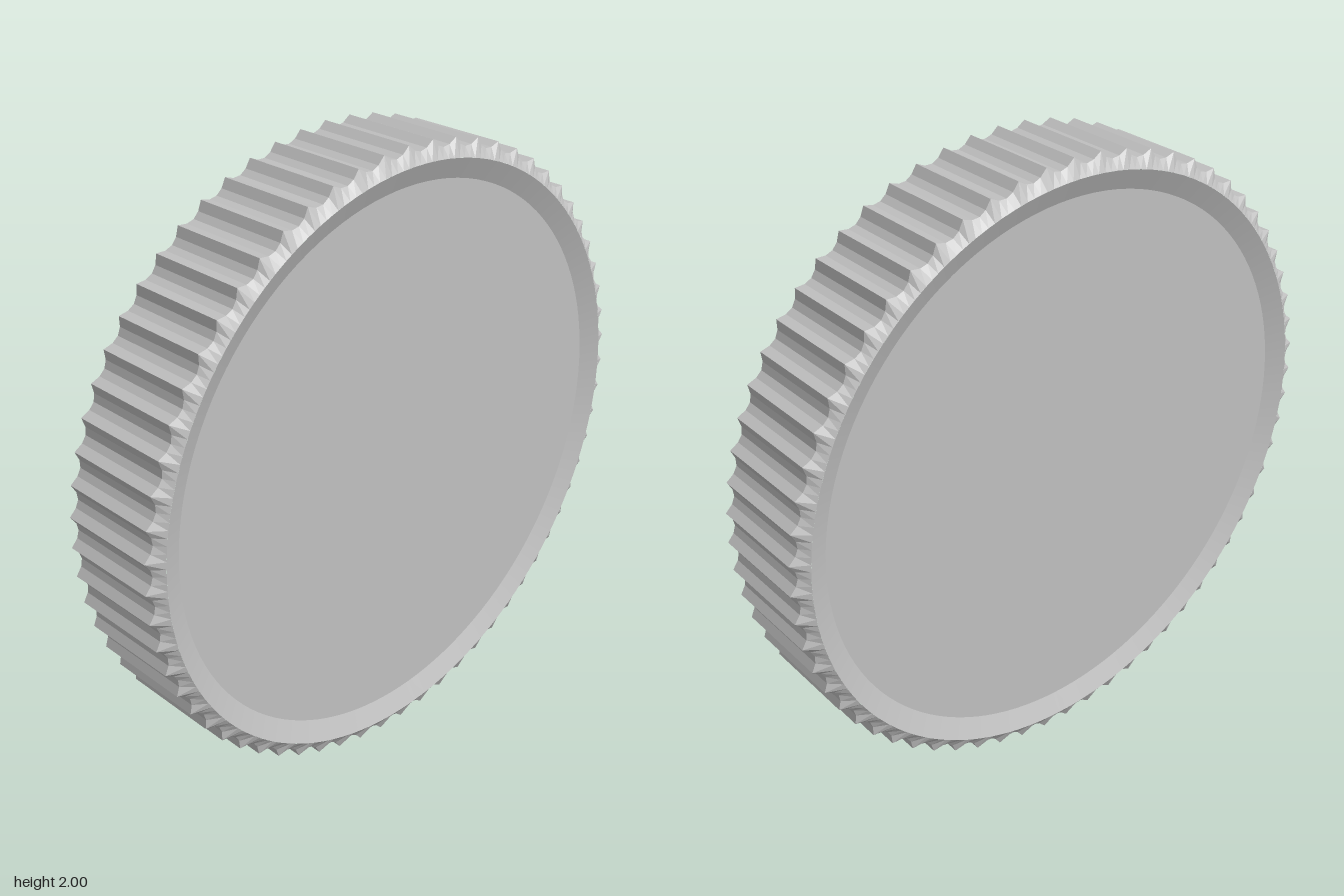
import * as THREE from 'three';

const TEETH = 64, STEPS = 4;        // sharp ridges with scooped flutes between them
const N = TEETH * STEPS;
const DEPTH = 0.027;                // flute depth
const EDGE_Z = 0.165, RIM_Z = 0.19; // half widths at the chamfer start and at the rim
const RIM_R = 0.945, FLOOR_R = 0.88, FLOOR_Z = 0.16;

const fluted = (i) => {
  const t = ((i % STEPS) / STEPS) * 2 - 1;
  return 1 - DEPTH * (1 - t * t);
};
const round = () => RIM_R;

// Faceted strip between two rings, each given as a radius rule and a z
function strip(rA, zA, rB, zB) {
  const pos = [];
  const point = (r, z, i) => {
    const a = (i / N) * Math.PI * 2;
    return [Math.cos(a) * r(i), Math.sin(a) * r(i), z];
  };
  for (let i = 0; i < N; i++) {
    const a = point(rA, zA, i), b = point(rA, zA, i + 1);
    const c = point(rB, zB, i + 1), d = point(rB, zB, i);
    pos.push(...a, ...b, ...c, ...a, ...c, ...d);
  }
  const geo = new THREE.BufferGeometry();
  geo.setAttribute('position', new THREE.Float32BufferAttribute(pos, 3));
  geo.computeVertexNormals();
  return geo;
}

export function createModel() {
  const model = new THREE.Group();
  model.name = 'knurledDisc';
  const grey = new THREE.MeshStandardMaterial({ color: 0xc0c0c0 });
  grey.name = 'plain grey';

  const add = (parent, name, geo) => {
    const mesh = new THREE.Mesh(geo, grey);
    mesh.name = name;
    parent.add(mesh);
  };

  // Fluted grip around the edge
  add(model, 'flutedGrip', strip(fluted, -EDGE_Z, fluted, EDGE_Z));

  // Identical dished faces on both sides
  for (const side of ['front', 'back']) {
    const face = new THREE.Group();
    face.name = side + 'Face';
    add(face, side + 'Chamfer', strip(fluted, EDGE_Z, round, RIM_Z));

    const wall = new THREE.LatheGeometry(
      [new THREE.Vector2(RIM_R, RIM_Z), new THREE.Vector2(FLOOR_R, FLOOR_Z)], 128);
    wall.rotateX(Math.PI / 2);
    add(face, side + 'RecessWall', wall);

    const floor = new THREE.CircleGeometry(FLOOR_R, 128);
    floor.translate(0, 0, FLOOR_Z);
    add(face, side + 'RecessFloor', floor);

    if (side === 'back') face.rotation.y = Math.PI;
    model.add(face);
  }

  // Stand the disc on the ground
  for (const part of model.children) part.position.y = 1;
  return model;
}
